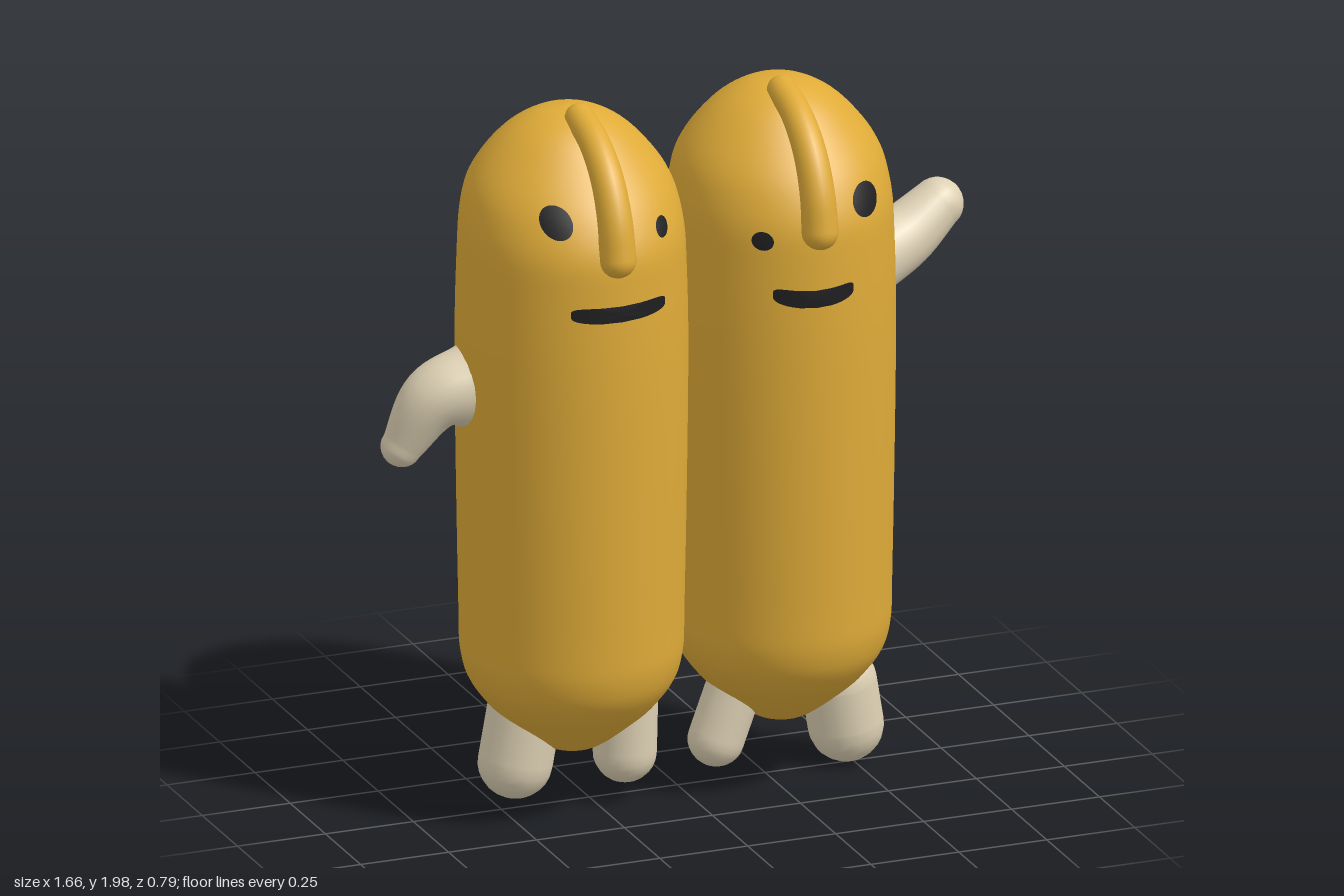
import * as THREE from 'three';
import { mergeVertices } from 'three/addons/utils/BufferGeometryUtils.js';

const mat = (name, color) => Object.assign(new THREE.MeshStandardMaterial({ color }), { name });
const mustard = mat('mustard', 0xdfab38), cream = mat('cream', 0xddd0b3), black = mat('black', 0x1e1e20);

// Shared body outline: relative radius, height
const outline = new THREE.SplineCurve([
  [0, 0.18], [0.23, 0.19], [0.5, 0.25], [0.77, 0.33], [0.94, 0.43], [0.97, 0.62], [1, 1.25],
  [0.985, 1.55], [0.95, 1.7], [0.84, 1.8], [0.57, 1.9], [0.28, 1.955], [0, 1.97]
].map(p => new THREE.Vector2(...p))).getPoints(72);

// The head is a little flatter from front to back and leans back to the middle
const headBlend = y => THREE.MathUtils.smoothstep(y, 1.6, 1.9);
const depthAt = (f, y) => f.rz * (1 - 0.12 * headBlend(y));
const centreAt = (f, y) => f.z * (1 - headBlend(y));

function bodyGeometry(f) {
  const lathe = new THREE.LatheGeometry(outline, 48);
  lathe.deleteAttribute('uv');
  lathe.deleteAttribute('normal');
  const g = mergeVertices(lathe), p = g.attributes.position;
  for (let i = 0; i < p.count; i++) {
    const y = p.getY(i);
    p.setXYZ(i, f.x + f.rx * p.getX(i), y, centreAt(f, y) + depthAt(f, y) * p.getZ(i));
  }
  g.computeVertexNormals();
  return g;
}

// Front surface depth of a body at x, y
function frontZ(f, x, y) {
  const i = outline.findIndex(p => p.y > y), a = outline[i - 1], b = outline[i];
  const radius = THREE.MathUtils.mapLinear(y, a.y, b.y, a.x, b.x);
  return centreAt(f, y) + depthAt(f, y) * Math.sqrt(Math.max(0, radius ** 2 - ((x - f.x) / f.rx) ** 2));
}

// Thin painted patch that follows the body; round below 1 squares it off, bend lifts its ends
function patch(f, cx, cy, rx, ry, round = 1, bend = 0) {
  const g = new THREE.RingGeometry(0.001, 1, 40, 6), p = g.attributes.position;
  const soften = v => Math.sign(v) * Math.abs(v) ** round;
  for (let i = 0; i < p.count; i++) {
    const u = p.getX(i), v = p.getY(i), r = Math.hypot(u, v), s = r * soften(u / r);
    const x = cx + rx * s, y = cy + ry * r * soften(v / r) + bend * s * s;
    p.setXYZ(i, x, y, frontZ(f, x, y) + 0.006);
  }
  g.computeVertexNormals();
  return g;
}

// Round-ended tube along a curve, tapering from r0 to r1
function limb(points, r0, r1) {
  const curve = new THREE.CatmullRomCurve3(points.map(p => new THREE.Vector3(...p)));
  const steps = 20, sides = 20, cap = 7, pos = [], index = [];
  const frames = curve.computeFrenetFrames(steps, false);
  const ring = (i, radius, shift) => {
    const c = curve.getPointAt(i / steps).addScaledVector(frames.tangents[i], shift);
    for (let j = 0; j < sides; j++) {
      const a = j / sides * Math.PI * 2;
      const p = c.clone().addScaledVector(frames.normals[i], Math.cos(a) * radius)
        .addScaledVector(frames.binormals[i], -Math.sin(a) * radius);
      pos.push(p.x, p.y, p.z);
    }
  };
  const arc = k => k / cap * Math.PI / 2;
  for (let k = 0; k < cap; k++) ring(0, r0 * Math.sin(arc(k)) + 0.0005, -r0 * Math.cos(arc(k)));
  for (let i = 0; i <= steps; i++) ring(i, THREE.MathUtils.lerp(r0, r1, i / steps), 0);
  for (let k = 1; k <= cap; k++) ring(steps, r1 * Math.cos(arc(k)) + 0.0005, r1 * Math.sin(arc(k)));
  for (let a = 0; a < pos.length / 3 - sides; a++) {
    const b = (a + 1) % sides ? a + 1 : a + 1 - sides;
    index.push(a, a + sides, b, b, a + sides, b + sides);
  }
  const g = new THREE.BufferGeometry();
  g.setAttribute('position', new THREE.Float32BufferAttribute(pos, 3));
  g.setIndex(index);
  g.computeVertexNormals();
  return g;
}

// Nose ridge from the face over the top of the head
const nosePath = [[1.65, 0.345], [1.75, 0.325], [1.85, 0.27], [1.922, 0.18], [1.956, 0.073]];
const nose = x => limb(nosePath.map(([y, z]) => [x, y, z]), 0.049, 0.039);

// Straight leg in a plane of constant z
const leg = (x0, y0, x1, y1, z, r) => limb([[x0, y0, z], [x1, y1, z]], r, r);

function figure(name, f, parts) {
  const group = new THREE.Group();
  group.name = name;
  const add = (partName, geometry, material) => {
    const mesh = new THREE.Mesh(geometry, material);
    mesh.name = partName;
    group.add(mesh);
  };
  add('body', bodyGeometry(f), mustard);
  add('nose', nose(parts.noseX), mustard);
  add('bigEye', patch(f, ...parts.bigEye), black);
  add('smallEye', patch(f, ...parts.smallEye), black);
  add('mouth', patch(f, ...parts.mouth), black);
  for (const limbName in parts.limbs) add(limbName, parts.limbs[limbName], cream);
  return group;
}

export function createModel() {
  const model = new THREE.Group();
  model.name = 'twoFigures';
  model.add(
    figure('rightFigure', { x: -0.316, rx: 0.307, z: 0.038, rz: 0.318 }, {
      noseX: -0.307,
      bigEye: [-0.45, 1.745, 0.039, 0.041],
      smallEye: [-0.155, 1.7, 0.021, 0.026],
      mouth: [-0.298, 1.5, 0.138, 0.022, 0.5, 0.006],
      limbs: {
        outerLeg: leg(-0.43, 0.36, -0.468, 0.15, 0.02, 0.1),
        innerLeg: leg(-0.16, 0.36, -0.165, 0.145, 0.04, 0.085),
        outerArm: limb([[-0.58, 1.22, 0], [-0.69, 1.195, 0], [-0.775, 1.065, -0.02]], 0.115, 0.056),
        innerArm: limb([[-0.06, 1, -0.2], [0.05, 1, -0.3], [0.16, 1, -0.325]], 0.077, 0.07)
      }
    }),
    figure('leftFigure', { x: 0.283, rx: 0.304, z: 0.019, rz: 0.33 }, {
      noseX: 0.268,
      bigEye: [0.42, 1.7, 0.043, 0.043],
      smallEye: [0.125, 1.625, 0.025, 0.025],
      mouth: [0.255, 1.463, 0.11, 0.024, 0.5, 0.016],
      limbs: {
        outerLeg: leg(0.465, 0.235, 0.485, 0.112, -0.015, 0.101),
        innerLeg: leg(0.17, 0.34, 0.097, 0.142, 0.035, 0.076),
        outerArm: limb([[0.54, 1.42, 0], [0.65, 1.46, -0.02], [0.755, 1.53, -0.04]], 0.105, 0.07),
        innerArm: limb([[0.13, 1.225, -0.24], [-0.01, 1.205, -0.305], [-0.125, 1.19, -0.295]], 0.08, 0.075)
      }
    })
  );
  return model;
}
